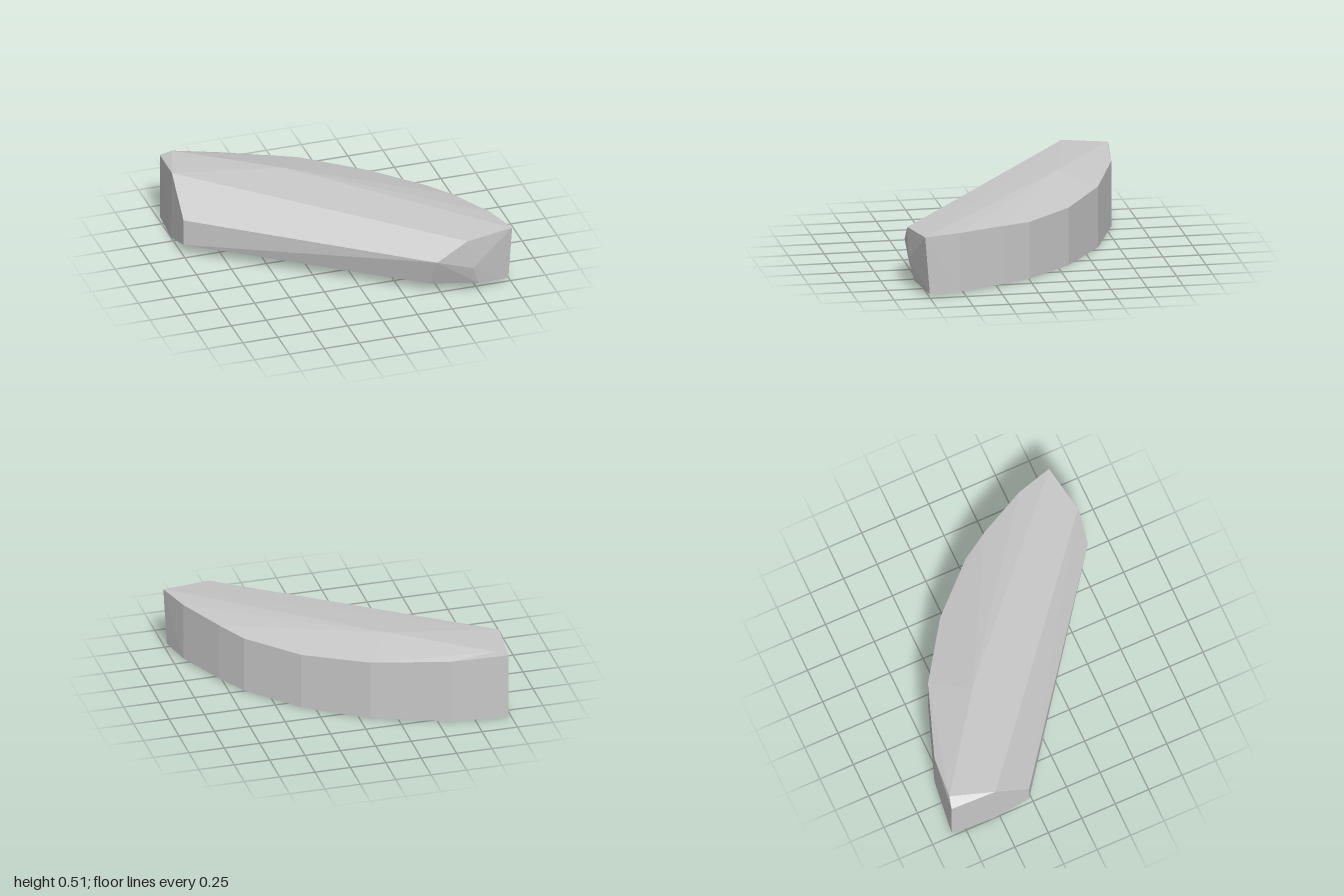
import * as THREE from 'three';
import { ConvexGeometry } from 'three/addons/geometries/ConvexGeometry.js';

export function createModel() {
  const group = new THREE.Group();
  group.name = 'facetedStone';
  const stone = new THREE.MeshStandardMaterial({ color: 0xc7c7c7 });
  stone.name = 'stoneGrey';

  // Curved back wall: x, z, rim height, foot height
  const backWall = [
    [-0.98, -0.85, 0.48, 0], [-0.59, -0.80, 0.46, 0], [-0.07, -0.61, 0.43, 0],
    [0.34, -0.33, 0.405, 0], [0.65, 0, 0.405, 0.005], [0.77, 0.2, 0.42, 0.01],
    [0.93, 0.53, 0.43, 0.018],
  ];
  const corners = [];
  for (const [x, z, rim, foot] of backWall) corners.push([x, rim, z], [x, foot, z]);

  // Top plane and its long straight ridge
  corners.push([-0.9, 0.51, -0.83], [-1, 0.51, -0.53], [-0.25, 0.51, -0.36], [0.66, 0.415, 0.845]);
  // Straight front: chamfer edge, then undercut edge
  corners.push([-1, 0.275, -0.28], [0.45, 0.275, 0.825]);
  corners.push([-1, 0.085, -0.28], [0.42, 0.075, 0.74]);
  // Left end foot and pointed right end
  corners.push([-1, 0, -0.55], [0.7, 0.2, 0.845], [0.75, 0.06, 0.815]);
  corners.push([1, 0.43, 0.785], [0.985, 0.025, 0.75]);

  const body = new THREE.Mesh(
    new ConvexGeometry(corners.map((p) => new THREE.Vector3(...p))), stone);
  body.name = 'stoneBody';
  group.add(body);
  return group;
}
